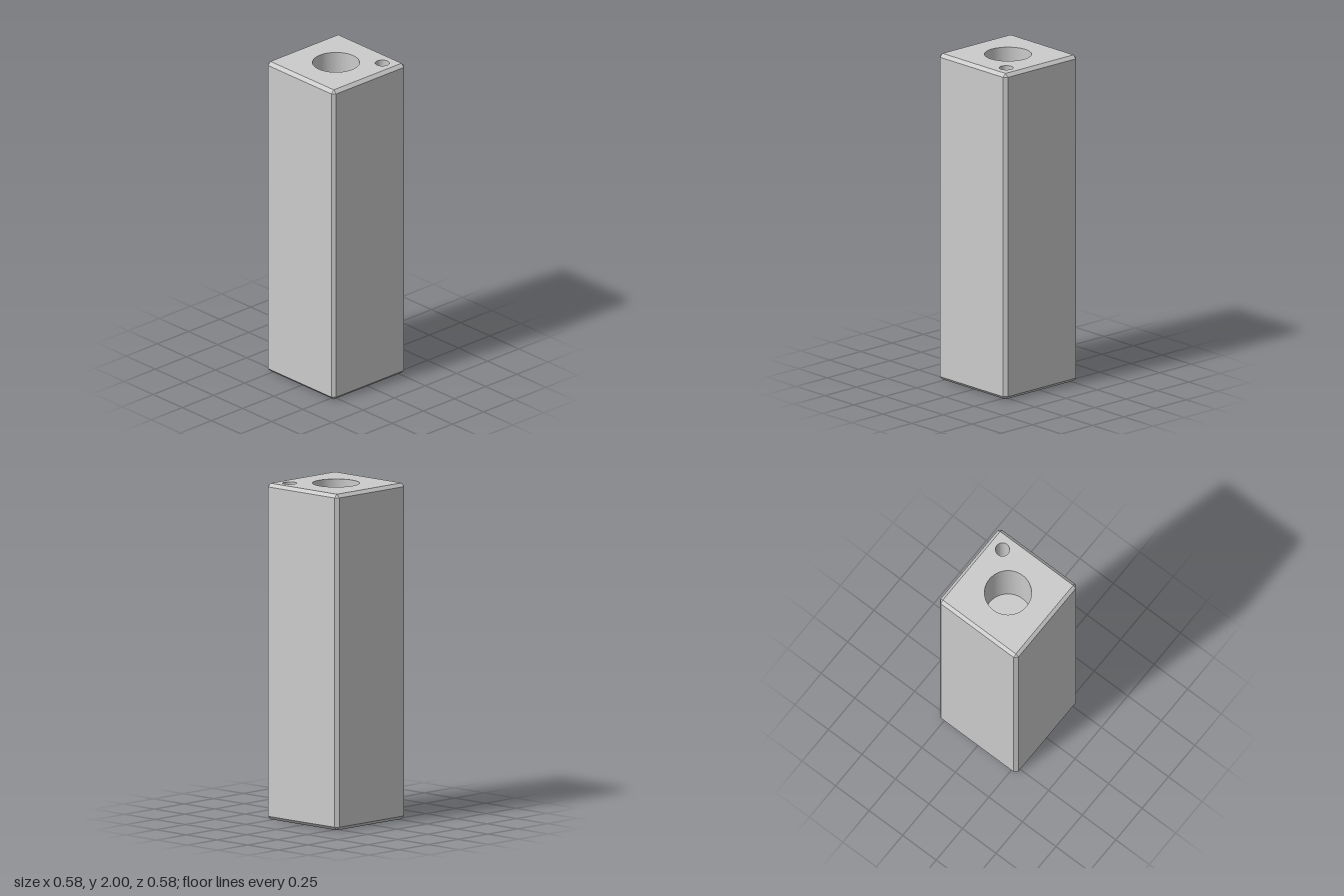
import * as THREE from 'three';
import { toCreasedNormals } from 'three/addons/utils/BufferGeometryUtils.js';

const H = 2, HALF = 0.292, CH = 0.02, FLAT = HALF - CH;
const BORE = 0.138, COUNTERBORE = 0.213, PIN = 0.0415, PIN_POS = 0.192;

// Eight points around the block: a pair per corner, pushed out to radius r.
function ring(r, y) {
  const pts = [];
  for (const [sx, sz] of [[1, 1], [1, -1], [-1, -1], [-1, 1]]) {
    const a = new THREE.Vector3(sx * FLAT, y, sz * r);
    const b = new THREE.Vector3(sx * r, y, sz * FLAT);
    pts.push(...(sx * sz > 0 ? [a, b] : [b, a]));
  }
  return pts;
}

// Side walls with chamfers on every edge and corner
function wallGeometry() {
  const rings = [ring(FLAT, 0), ring(HALF, CH), ring(HALF, H - CH), ring(FLAT, H)];
  const tris = [];
  const add = (a, b, c) => {
    if (!a.equals(b) && !b.equals(c) && !c.equals(a)) tris.push(a, b, c);
  };
  for (let k = 0; k < 3; k++) {
    for (let i = 0; i < 8; i++) {
      const j = (i + 1) % 8, lo = rings[k], hi = rings[k + 1];
      add(lo[i], lo[j], hi[j]);
      add(lo[i], hi[j], hi[i]);
    }
  }
  const geo = new THREE.BufferGeometry().setFromPoints(tris);
  geo.computeVertexNormals();
  return geo;
}

// Square end face with round openings; up = 1 for the top, -1 for the bottom
function endGeometry(mainRadius, up) {
  const shape = new THREE.Shape();
  shape.moveTo(-FLAT, -FLAT).lineTo(FLAT, -FLAT).lineTo(FLAT, FLAT).lineTo(-FLAT, FLAT).closePath();
  for (const [p, r] of [[0, mainRadius], [PIN_POS, PIN]]) {
    const hole = new THREE.Path();
    hole.absarc(p, p * up, r, 0, Math.PI * 2, true);
    shape.holes.push(hole);
  }
  return new THREE.ShapeGeometry(shape, 32).rotateX(-up * Math.PI / 2);
}

// Inward-facing hole surface from a radius/height profile
function holeGeometry(profile) {
  const geo = new THREE.LatheGeometry(profile.map(([r, y]) => new THREE.Vector2(r, y)), 64);
  return toCreasedNormals(geo, Math.PI / 6);
}

export function createModel() {
  const group = new THREE.Group();
  const material = new THREE.MeshStandardMaterial({ color: 0xcccccc });
  const add = (name, geometry, x = 0, y = 0, z = 0) => {
    const mesh = new THREE.Mesh(geometry, material);
    mesh.name = name;
    mesh.position.set(x, y, z);
    group.add(mesh);
  };

  // Block
  add('chamferedWalls', wallGeometry());
  add('topFace', endGeometry(BORE, 1), 0, H, 0);
  add('bottomFace', endGeometry(COUNTERBORE, -1));

  // Central bores, the lower one with a stepped mouth
  add('topBore', holeGeometry([[BORE, H], [BORE, H - 0.4], [0, H - 0.4]]));
  add('bottomBore', holeGeometry([
    [0, 0.5], [BORE, 0.5], [BORE, 0.1], [COUNTERBORE, 0.1], [COUNTERBORE, 0],
  ]));

  // Small corner holes
  add('topPinHole', holeGeometry([[PIN, H], [PIN, H - 0.25], [0, H - 0.25]]), PIN_POS, 0, -PIN_POS);
  add('bottomPinHole', holeGeometry([[0, 0.25], [PIN, 0.25], [PIN, 0]]), PIN_POS, 0, -PIN_POS);

  return group;
}
